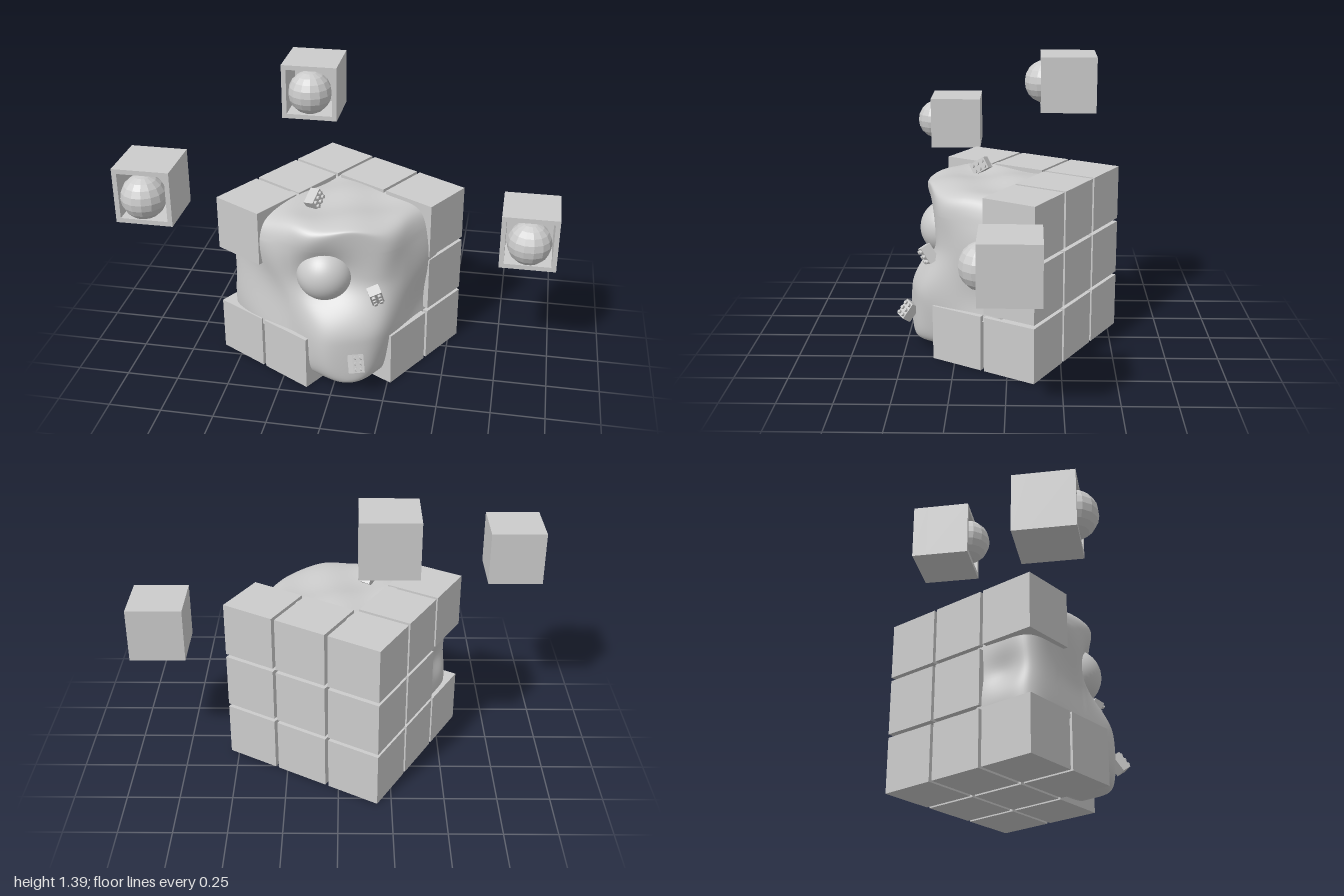
import * as THREE from 'three';
import { mergeVertices } from 'three/addons/utils/BufferGeometryUtils.js';

const SIZE = 0.267, PITCH = 0.284, TURN = Math.PI / 6;
const grey = new THREE.MeshStandardMaterial({ color: 0xcccccc });
const flat = new THREE.MeshStandardMaterial({ color: 0xcccccc, flatShading: true });
const ramp = THREE.MathUtils.smoothstep;
const lerp = THREE.MathUtils.lerp;

function add(parent, name, geometry, material, x = 0, y = 0, z = 0) {
  const mesh = new THREE.Mesh(geometry, material);
  mesh.name = name;
  mesh.position.set(x, y, z);
  parent.add(mesh);
  return mesh;
}

// Lumpy mass: a rounded box, pinched, dented and tucked in behind the cubelets
function massGeometry() {
  let g = new THREE.BoxGeometry(2, 2, 2, 44, 44, 44);
  g.deleteAttribute('uv');
  g.deleteAttribute('normal');
  g = mergeVertices(g, 1e-4);
  const p = g.attributes.position;
  const c30 = Math.cos(TURN), s30 = Math.sin(TURN);
  for (let i = 0; i < p.count; i++) {
    let x = p.getX(i), y = p.getY(i), z = p.getZ(i);
    const n = Math.pow(x ** 8 + y ** 8 + z ** 8, 1 / 8);
    x *= 0.4 / n;
    z *= 0.4 / n;
    y = 0.425 + (y * 0.4) / n;

    // lumps
    const lump = 0.012 * Math.sin(13 * y + 9 * x) * Math.cos(11 * z - 7 * x + 1);
    x += x > 0 ? lump : -lump;
    z += z > 0 ? lump : -lump;
    if (y > 0.7) y += 0.01 * Math.cos(16 * x) * Math.cos(14 * z + 1) - 0.004;

    // front edge cut back, more so above the foot
    const limit = 0.45 - 0.09 * ramp(y, 0.28, 0.55);
    const cut = 0.03 * Math.log(1 + Math.exp(((x + z) / Math.SQRT2 - limit) / 0.03)) / Math.SQRT2;
    x -= cut;
    z -= cut;

    // eye socket
    const wx = c30 * x - s30 * z - 0.03, wz = s30 * x + c30 * z;
    if (wz > 0) {
      const dent = 0.085 * Math.exp(-((wx + 0.06) ** 2 + (y - 0.555) ** 2) / 0.022);
      x -= dent * s30;
      z -= dent * c30;
    }

    // hollow in the open left corner
    if (x < -0.2) x += 0.045 * Math.exp(-((y - 0.43) ** 2 / 0.008 + (z - 0.24) ** 2 / 0.012));

    // hidden sides stay clear of the gaps between cubelets
    const back = 1 - ramp(z, -0.3, -0.16);
    const side = 1 - ramp(x, -0.3, -0.16);
    const notFoot = 1 - ramp(Math.min(x, z), 0.06, 0.14);
    y = Math.min(y, lerp(0.9, 0.68, Math.max(back, side)));
    y = Math.max(y, lerp(0, 0.24, notFoot));
    x = Math.min(x, lerp(0.5, 0.3, back));
    x = Math.max(x, lerp(-0.5, -0.3, 1 - ramp(z, 0.04, 0.15)));
    z = Math.max(z, -0.3);
    p.setXYZ(i, x, y, z);
  }
  g.computeVertexNormals();
  return g;
}

// Cubelet hollowed from the front, holding a faceted eyeball
function eyeCube(x, y, z) {
  const cube = new THREE.Group();
  cube.name = 'floatingEyeCube';
  cube.position.set(x, y, z);
  const h = SIZE / 2, w = 0.111, depth = 0.2;
  const outline = new THREE.Shape([[-h, -h], [h, -h], [h, h], [-h, h]].map(q => new THREE.Vector2(...q)));
  outline.holes.push(new THREE.Path([[-w, -w], [-w, w], [w, w], [w, -w]].map(q => new THREE.Vector2(...q))));
  const frame = new THREE.ExtrudeGeometry(outline, { depth, bevelEnabled: false });
  add(cube, 'cubeFrame', frame, flat, 0, 0, h - depth);
  add(cube, 'cubeBack', new THREE.BoxGeometry(SIZE, SIZE, SIZE - depth), flat, 0, 0, -depth / 2);
  add(cube, 'eyeball', new THREE.SphereGeometry(0.105, 14, 10), flat, 0, -0.002, h - 0.025);
  return cube;
}

// Small block with two rows of three studs, facing along the given direction
function studBlock(position, direction, spin) {
  const block = new THREE.Group();
  block.name = 'studBlock';
  add(block, 'blockBody', new THREE.BoxGeometry(0.058, 0.05, 0.085), flat);
  const stud = new THREE.CylinderGeometry(0.009, 0.009, 0.014, 10);
  for (const x of [-0.014, 0.014])
    for (const z of [-0.027, 0, 0.027]) add(block, 'stud', stud, grey, x, 0.03, z);
  block.position.set(...position);
  block.quaternion.setFromUnitVectors(new THREE.Vector3(0, 1, 0), new THREE.Vector3(...direction).normalize());
  block.rotateY(spin);
  return block;
}

export function createModel() {
  const model = new THREE.Group();
  model.name = 'brokenPuzzleCube';

  const body = new THREE.Group();
  body.name = 'cubeBody';
  body.position.set(-0.03, 0, 0.03);
  body.rotation.y = -TURN;
  model.add(body);

  // Cubelets: full back and side walls plus a floor without its front corner
  const box = new THREE.BoxGeometry(SIZE, SIZE, SIZE);
  for (let i = -1; i <= 1; i++)
    for (let j = -1; j <= 1; j++)
      for (let k = -1; k <= 1; k++) {
        const wall = (i === -1 || k === -1) && !(i === -1 && j === 0 && k === 1);
        const floor = j === -1 && !(i === 1 && k === 1);
        if (wall || floor) add(body, 'cubelet', box, flat, i * PITCH, 0.418 + j * PITCH, k * PITCH);
      }

  add(body, 'lumpyMass', massGeometry(), grey);
  add(model, 'mainEye', new THREE.SphereGeometry(0.135, 40, 28), grey, -0.06, 0.557, 0.3);

  model.add(
    eyeCube(-0.866, 0.932, 0.303),
    eyeCube(-0.22, 1.253, -0.285),
    eyeCube(0.865, 0.683, -0.022),
    studBlock([-0.14, 0.845, 0.14], [0.9, 0.15, 0.35], 0.2),
    studBlock([0.19, 0.5, 0.375], [0.45, -0.4, 0.75], 0.9),
    studBlock([0.12, 0.185, 0.485], [0.55, 0.55, 0.6], 0.5)
  );
  return model;
}
